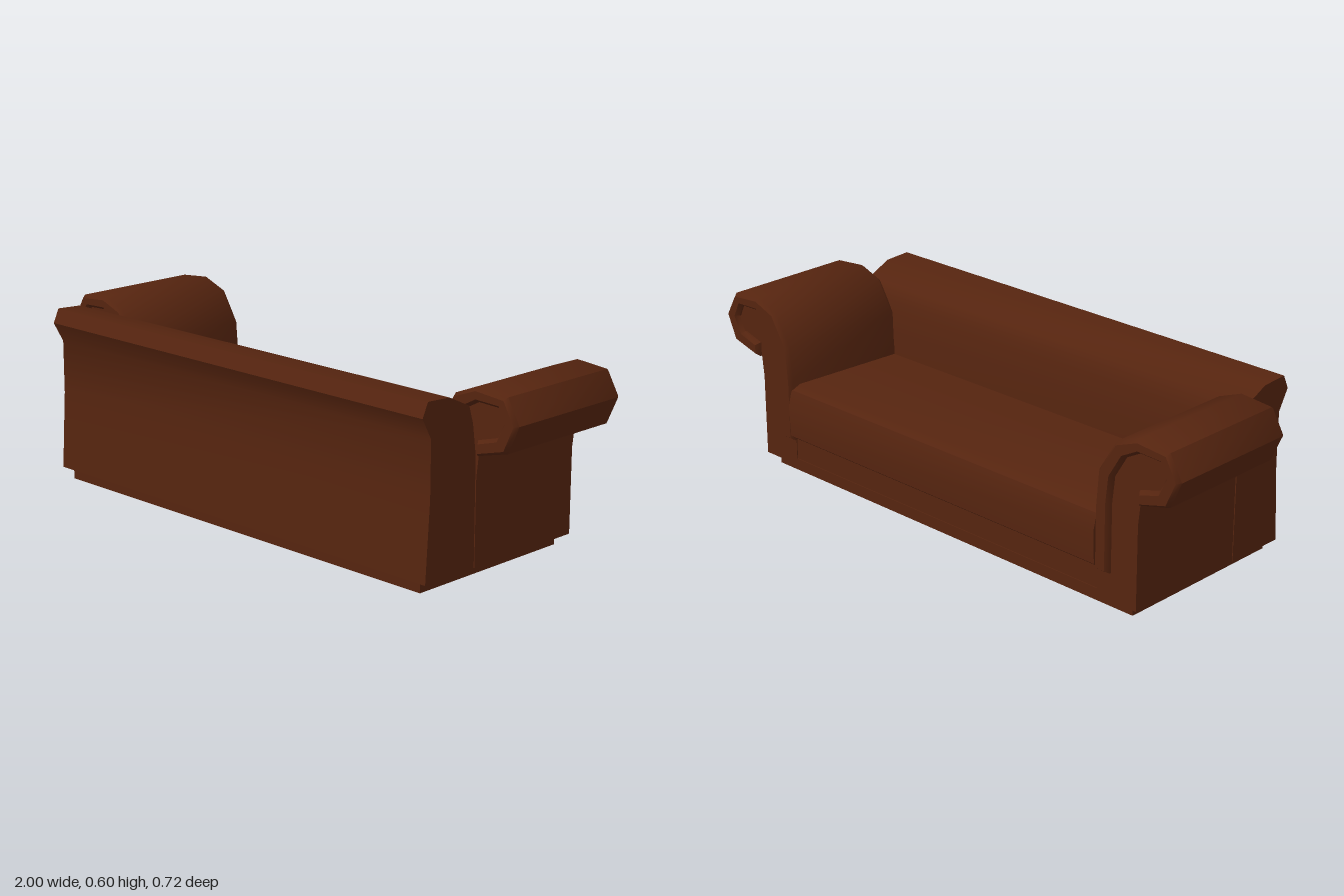
import * as THREE from 'three';
import { toCreasedNormals } from 'three/addons/utils/BufferGeometryUtils.js';

const leather = new THREE.MeshStandardMaterial({ color: 0x55240f });
leather.name = 'brownLeather';

// Mesh with smooth normals across soft bends and sharp edges elsewhere
function part(name, geometry) {
  const mesh = new THREE.Mesh(toCreasedNormals(geometry, 0.87), leather);
  mesh.name = name;
  return mesh;
}

const shapeOf = (points) => new THREE.Shape(points.map(([x, y]) => new THREE.Vector2(x, y)));

// Extrude an (x, y) outline between two z positions; the bevel stays inside the outline's depth
function alongZ(points, z0, z1, bevel = 0) {
  const g = new THREE.ExtrudeGeometry(shapeOf(points), {
    depth: z1 - z0 - 2 * bevel, bevelEnabled: bevel > 0, bevelThickness: bevel,
    bevelSize: bevel * 0.7, bevelOffset: -bevel * 0.7, bevelSegments: 1,
  });
  return g.translate(0, 0, z0 + bevel);
}

// Extrude a (z, y) outline across the width, centred on x = 0
function acrossX(points, halfWidth) {
  const g = new THREE.ExtrudeGeometry(shapeOf(points), { depth: 2 * halfWidth, bevelEnabled: false });
  return g.translate(0, 0, -halfWidth).rotateY(-Math.PI / 2);
}

function block(x0, x1, y0, y1, z0, z1) {
  return new THREE.BoxGeometry(x1 - x0, y1 - y0, z1 - z0)
    .translate((x0 + x1) / 2, (y0 + y1) / 2, (z0 + z1) / 2);
}

// Mirror an outline in x, keeping its winding
const sided = (points, s) => (s > 0 ? points : points.map(([x, y]) => [-x, y]).reverse());

export function createModel() {
  const sofa = new THREE.Group();
  sofa.name = 'sofa';

  // Recessed plinth and the front rail under the cushion
  sofa.add(part('plinth', block(-0.8, 0.8, 0, 0.04, -0.305, 0.32)));
  sofa.add(part('seatRail', block(-0.685, 0.685, 0.037, 0.15, -0.33, 0.118)));
  sofa.add(part('lowerTrim', block(-0.685, 0.685, 0.037, 0.06, -0.333, 0.13)));

  // Seat cushion with a rounded leading edge
  sofa.add(part('seatCushion', acrossX([
    [-0.333, 0.135], [0.13, 0.135], [0.13, 0.312], [-0.31, 0.327],
    [-0.343, 0.314], [-0.358, 0.26], [-0.353, 0.15],
  ], 0.685)));

  // Backrest with a rolled top
  sofa.add(part('backrest', acrossX([
    [0.122, 0.037], [0.338, 0.037], [0.33, 0.17], [0.322, 0.3], [0.322, 0.48],
    [0.36, 0.548], [0.338, 0.595], [0.245, 0.59], [0.157, 0.548],
    [0.139, 0.49], [0.124, 0.39],
  ], 0.836)));

  // Arm body, set back inside the upholstered band
  const body = [
    [0.682, 0.037], [0.836, 0.037], [0.836, 0.32], [0.846, 0.41], [0.93, 0.44],
    [0.965, 0.51], [0.94, 0.57], [0.84, 0.575], [0.77, 0.54], [0.71, 0.45], [0.7, 0.3], [0.682, 0.2],
  ];
  // Band that climbs the inner side and curls outward into a scroll
  const band = [
    [0.735, 0.13], [0.735, 0.36], [0.745, 0.45], [0.79, 0.525], [0.845, 0.555],
    [0.925, 0.552], [0.945, 0.51], [0.92, 0.46], [0.845, 0.438], [0.845, 0.39],
    [0.96, 0.42], [1, 0.51], [0.955, 0.59], [0.84, 0.6], [0.755, 0.567],
    [0.69, 0.46], [0.68, 0.34], [0.68, 0.13],
  ];
  for (const s of [1, -1]) {
    const arm = new THREE.Group();
    arm.name = s > 0 ? 'leftArm' : 'rightArm';
    arm.add(part('armBody', alongZ(sided(body, s), -0.333, 0.119)));
    arm.add(part('armScroll', alongZ(sided(band, s), -0.353, 0.139, 0.014)));
    sofa.add(arm);
  }
  return sofa;
}
